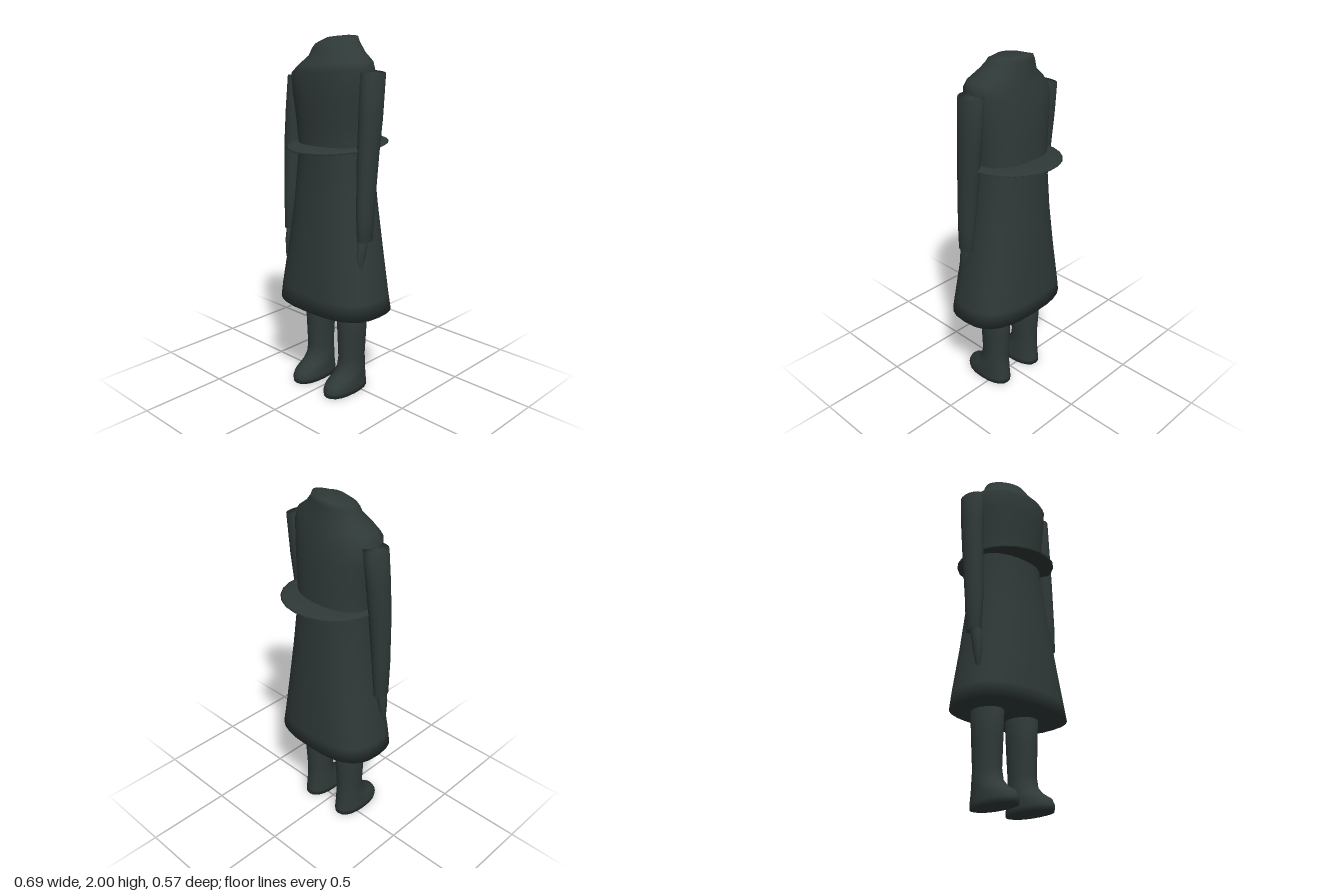
import * as THREE from 'three';

const cloth = new THREE.MeshStandardMaterial({ color: 0x2f3938 });
cloth.name = 'dark slate';

// Closed smooth skin over rings, listed bottom to top.
// ring: [y, xMin, xMax, zMin, zMax, squareness = 2, slopeX = 0, slopeZ = 0]
function loft(name, rings, sides = 24) {
  const pos = [], idx = [];
  const signedPow = (v, p) => Math.sign(v) * Math.abs(v) ** p;
  for (const [y, x0, x1, z0, z1, n = 2, sx = 0, sz = 0] of rings) {
    const cx = (x0 + x1) / 2, cz = (z0 + z1) / 2;
    for (let j = 0; j < sides; j++) {
      const a = (j / sides) * Math.PI * 2;
      const dx = signedPow(Math.cos(a), 2 / n) * (x1 - x0) / 2;
      const dz = signedPow(Math.sin(a), 2 / n) * (z1 - z0) / 2;
      pos.push(cx + dx, Math.min(2, y + dx * sx + dz * sz), cz + dz);
    }
  }
  for (let i = 0; i < rings.length - 1; i++) {
    for (let j = 0; j < sides; j++) {
      const a = i * sides + j, b = i * sides + (j + 1) % sides;
      idx.push(a, a + sides, b, b, a + sides, b + sides);
    }
  }
  // End caps
  const addCap = (ring, start, top) => {
    const c = pos.length / 3;
    pos.push((ring[1] + ring[2]) / 2, ring[0], (ring[3] + ring[4]) / 2);
    for (let j = 0; j < sides; j++) {
      const a = start + j, b = start + (j + 1) % sides;
      idx.push(c, top ? b : a, top ? a : b);
    }
  };
  addCap(rings[0], 0, false);
  addCap(rings.at(-1), (rings.length - 1) * sides, true);
  const g = new THREE.BufferGeometry();
  g.setAttribute('position', new THREE.Float32BufferAttribute(pos, 3));
  g.setIndex(idx);
  g.computeVertexNormals();
  const mesh = new THREE.Mesh(g, cloth);
  mesh.name = name;
  return mesh;
}

export function createModel() {
  const model = new THREE.Group();
  model.name = 'coatFigure';

  // Long coat: flared skirt, waist, sloping shoulders and tilted collar
  model.add(loft('coat', [
    [0.51, -0.335, 0.345, -0.20, 0.25, 2.7],
    [0.60, -0.325, 0.33, -0.197, 0.245, 2.6],
    [0.85, -0.285, 0.29, -0.188, 0.225, 2.4],
    [1.10, -0.25, 0.25, -0.175, 0.20, 2.3],
    [1.40, -0.23, 0.215, -0.155, 0.17, 2.2],
    [1.55, -0.24, 0.225, -0.153, 0.18, 2.2],
    [1.70, -0.26, 0.24, -0.145, 0.19, 2.2],
    [1.81, -0.27, 0.255, -0.13, 0.188, 2.2, 0.09, 0.1],
    [1.86, -0.23, 0.24, -0.12, 0.17, 2.1, 0.09],
    [1.91, -0.165, 0.175, -0.11, 0.132, 2, 0.1],
    [1.955, -0.145, 0.13, -0.105, 0.118, 2, 0.1, -0.15],
    [1.98, -0.13, 0.118, -0.10, 0.105, 2, 0.12, -0.22],
    [1.995, -0.06, 0.07, -0.06, 0.06, 2, 0.05, -0.08],
  ], 28));

  // Thin tilted disc around the waist
  const belt = new THREE.Mesh(new THREE.SphereGeometry(1, 24, 12), cloth);
  belt.name = 'waistDisc';
  belt.scale.set(0.275, 0.02, 0.287);
  belt.position.set(0, 1.428, 0);
  belt.rotation.set(0.045, 0, 0.03);
  model.add(belt);

  // Sleeves, each hanging slightly forward
  model.add(loft('rightSleeve', [
    [0.905, -0.33, -0.265, 0.02, 0.12],
    [1.10, -0.339, -0.248, 0.01, 0.12],
    [1.40, -0.346, -0.236, -0.02, 0.11],
    [1.60, -0.342, -0.23, -0.045, 0.10],
    [1.785, -0.333, -0.22, -0.065, 0.09, 2, 0.15],
  ], 16));
  model.add(loft('leftSleeve', [
    [0.945, 0.235, 0.305, 0.02, 0.12],
    [1.10, 0.224, 0.31, 0.01, 0.12],
    [1.40, 0.212, 0.316, -0.02, 0.11],
    [1.60, 0.208, 0.32, -0.045, 0.10],
    [1.83, 0.205, 0.32, -0.065, 0.09, 2, -0.12],
  ], 16));

  // Narrow hands
  for (const [name, x, y] of [['rightHand', -0.292, 0.70], ['leftHand', 0.265, 0.735]]) {
    model.add(loft(name, [
      [y, x - 0.008, x + 0.008, 0.09, 0.118],
      [y + 0.06, x - 0.018, x + 0.018, 0.075, 0.125],
      [y + 0.14, x - 0.023, x + 0.023, 0.058, 0.125],
      [y + 0.23, x - 0.024, x + 0.024, 0.04, 0.11],
    ], 12));
  }

  // Legs running into boots with forward toes
  for (const [name, x] of [['rightLeg', -0.132], ['leftLeg', 0.119]]) {
    model.add(loft(name, [
      [0, x - 0.078, x + 0.078, -0.095, 0.21, 2.3],
      [0.03, x - 0.079, x + 0.079, -0.094, 0.215, 2.3],
      [0.065, x - 0.078, x + 0.078, -0.09, 0.198, 2.2],
      [0.10, x - 0.076, x + 0.076, -0.087, 0.14],
      [0.14, x - 0.073, x + 0.073, -0.083, 0.10],
      [0.20, x - 0.069, x + 0.069, -0.08, 0.09],
      [0.35, x - 0.076, x + 0.076, -0.088, 0.095],
      [0.56, x - 0.084, x + 0.084, -0.097, 0.102],
    ], 20));
  }
  return model;
}
